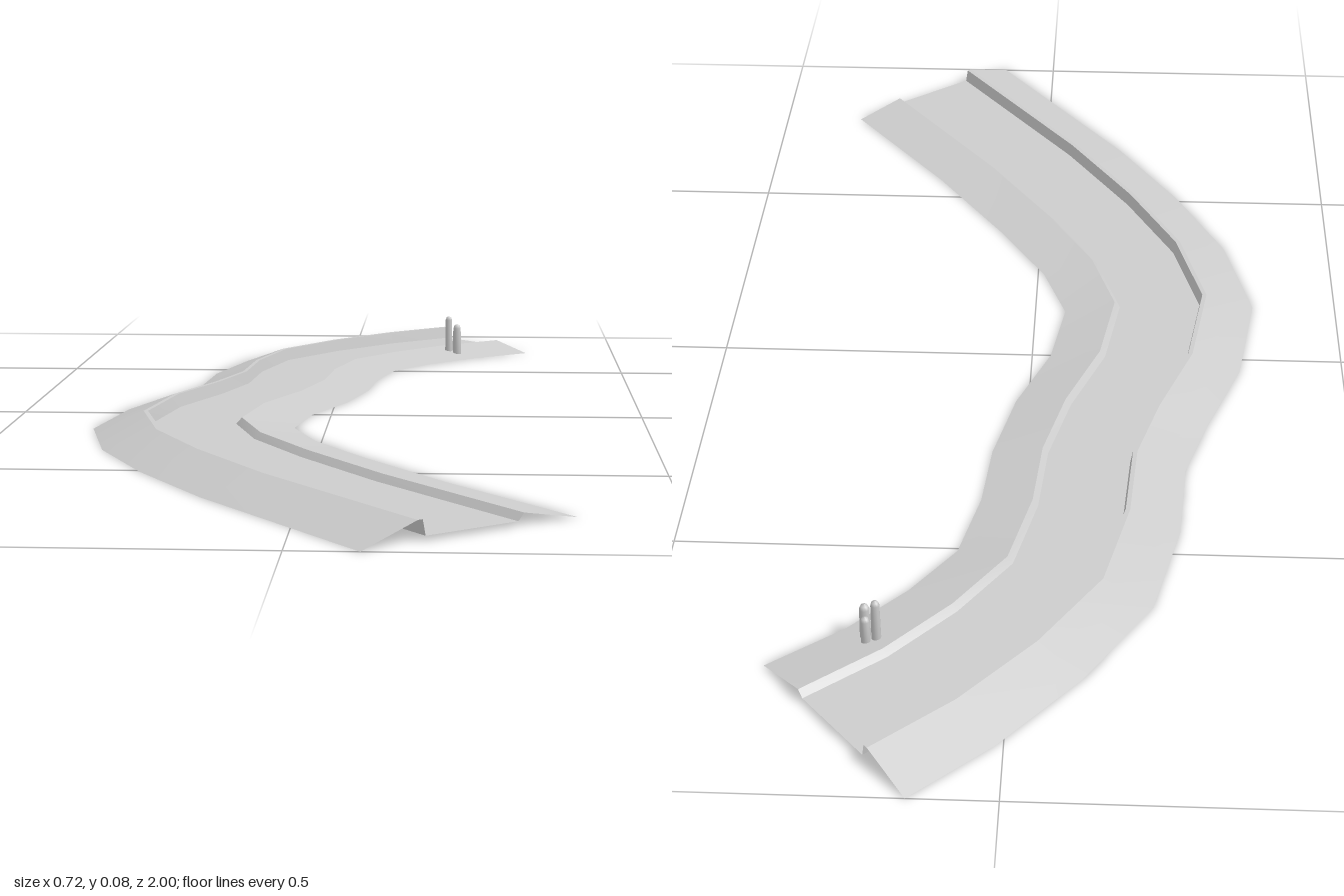
import * as THREE from 'three';

// Outer edges of the river bed seen from above, back to front: [x, z]
const LEFT_EDGE = [
  [0.12, -1], [0.01, -0.9], [-0.1, -0.77], [-0.195, -0.62], [-0.235, -0.45], [-0.245, -0.3], [-0.28, -0.185],
  [-0.335, -0.035], [-0.363, 0.155], [-0.32, 0.34], [-0.24, 0.51], [-0.135, 0.685], [0.093, 1],
];
const RIGHT_EDGE = [
  [0.333, -0.76], [0.23, -0.68], [0.15, -0.595], [0.087, -0.505], [0.06, -0.385], [0.05, -0.265], [0.02, -0.13],
  [-0.03, 0], [-0.05, 0.13], [-0.01, 0.245], [0.07, 0.38], [0.19, 0.56], [0.361, 0.785],
];

// Strip along the river between two profile points [t across, y height]
function strip(name, a, b, material) {
  const pos = [], index = [];
  LEFT_EDGE.forEach(([lx, lz], i) => {
    const [rx, rz] = RIGHT_EDGE[i];
    for (const [t, y] of [a, b]) pos.push(lx + (rx - lx) * t, y, lz + (rz - lz) * t);
    if (i > 0) {
      const k = 2 * (i - 1);
      index.push(k, k + 2, k + 1, k + 1, k + 2, k + 3);
    }
  });
  const geo = new THREE.BufferGeometry();
  geo.setAttribute('position', new THREE.Float32BufferAttribute(pos, 3));
  geo.setIndex(index);
  geo.computeVertexNormals();
  const mesh = new THREE.Mesh(geo, material);
  mesh.name = name;
  return mesh;
}

export function createModel() {
  const group = new THREE.Group();
  group.name = 'riverBend';
  const stone = new THREE.MeshStandardMaterial({ color: 0xcccccc, side: THREE.DoubleSide });
  stone.name = 'light grey';

  // Cross-section: high bank, water, low bank (open underneath)
  const profile = [[0, 0], [0.25, 0.028], [0.272, 0.028], [0.285, 0.007], [0.71, 0.007], [0.738, 0.017], [1, 0]];
  const names = ['highBankSlope', 'highBankRim', 'highBankWall', 'water', 'lowBankWall', 'lowBankSlope'];
  names.forEach((name, i) => group.add(strip(name, profile[i], profile[i + 1], stone)));

  // Cluster of round-topped reeds on the low bank: x, z, radius, top height
  const reeds = new THREE.Group();
  reeds.name = 'reeds';
  for (const [x, z, r, top] of [[0.184, -0.71, 0.007, 0.077], [0.2, -0.701, 0.008, 0.063], [0.198, -0.716, 0.007, 0.053]]) {
    const profilePoints = [[0, 0.002], [r, 0.002], [r * 0.9, top - r], [r * 0.64, top - r * 0.3], [0, top]]
      .map(([px, py]) => new THREE.Vector2(px, py));
    const reed = new THREE.Mesh(new THREE.LatheGeometry(profilePoints, 10), stone);
    reed.position.set(x, 0, z);
    reed.name = 'reed';
    reeds.add(reed);
  }
  group.add(reeds);
  return group;
}
